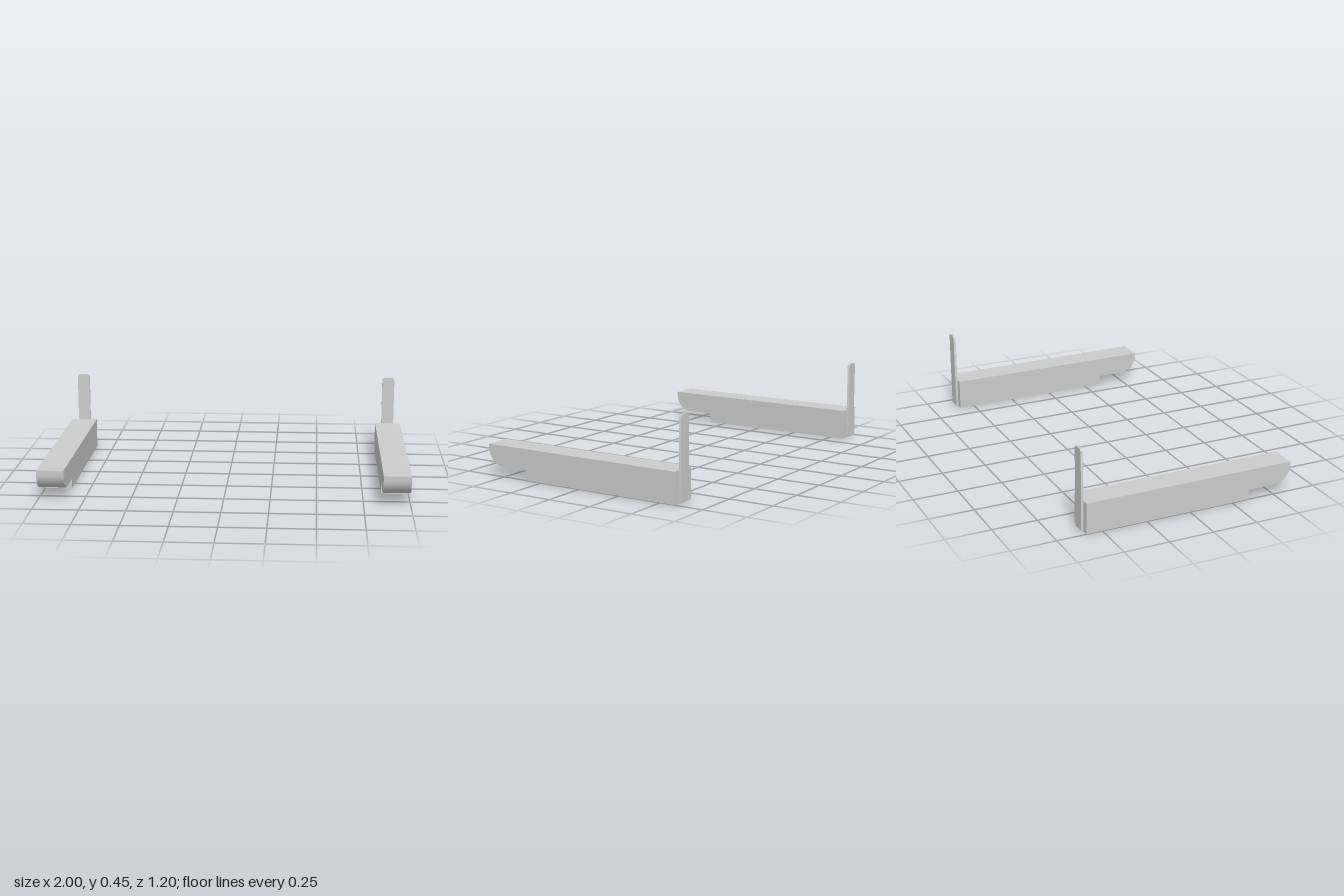
import * as THREE from 'three';
import { toCreasedNormals } from 'three/addons/utils/BufferGeometryUtils.js';

const material = new THREE.MeshStandardMaterial({ color: 0xcccccc });

// Extrude a shape, centred on its depth
function extrude(shape, depth, curveSegments) {
  const geometry = new THREE.ExtrudeGeometry(shape, { depth, curveSegments, bevelEnabled: false });
  geometry.translate(0, 0, -depth / 2);
  return toCreasedNormals(geometry, 0.6);
}

// Side profile of the rail: stepped underside and rounded nose
function railGeometry() {
  const shape = new THREE.Shape();
  shape.moveTo(-0.587, 0);
  shape.lineTo(0.35, 0);
  shape.lineTo(0.35, 0.055);
  shape.lineTo(0.505, 0.055);
  shape.absarc(0.505, 0.15, 0.095, -Math.PI / 2, 0, false);
  shape.lineTo(0.6, 0.17);
  shape.lineTo(-0.587, 0.17);
  shape.closePath();
  return extrude(shape, 0.148, 5).rotateY(-Math.PI / 2);
}

// Flat upright strip with rounded top corners
function stripGeometry() {
  const w = 0.036, bottom = 0.004, top = 0.45, r = 0.02;
  const shape = new THREE.Shape();
  shape.moveTo(-w, bottom);
  shape.lineTo(w, bottom);
  shape.lineTo(w, top - r);
  shape.absarc(w - r, top - r, r, 0, Math.PI / 2, false);
  shape.lineTo(-w + r, top);
  shape.absarc(-w + r, top - r, r, Math.PI / 2, Math.PI, false);
  shape.closePath();
  return extrude(shape, 0.013, 5);
}

export function createModel() {
  const group = new THREE.Group();
  group.name = 'railPair';
  const railGeo = railGeometry();
  const stripGeo = stripGeometry();

  // One rail with its rear strip on each side
  for (const [side, sign] of [['left', 1], ['right', -1]]) {
    const assembly = new THREE.Group();
    assembly.name = side + 'Assembly';
    assembly.position.x = sign * 0.926;

    const rail = new THREE.Mesh(railGeo, material);
    rail.name = side + 'Rail';
    const strip = new THREE.Mesh(stripGeo, material);
    strip.name = side + 'UprightStrip';
    strip.position.z = -0.5935;

    assembly.add(rail, strip);
    group.add(assembly);
  }
  return group;
}
